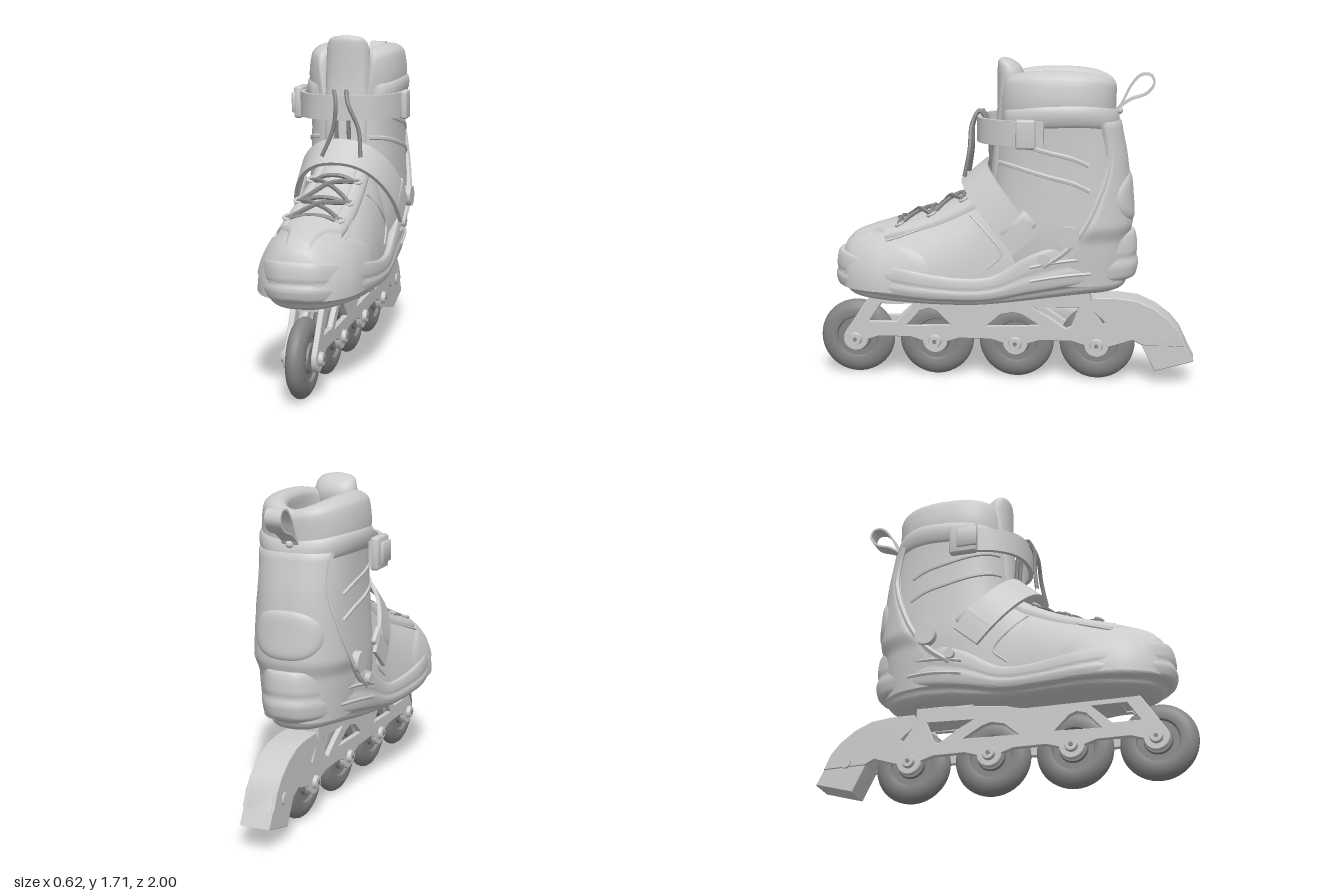
import * as THREE from 'three';
import { toCreasedNormals } from 'three/addons/utils/BufferGeometryUtils.js';
import { RoundedBoxGeometry } from 'three/addons/geometries/RoundedBoxGeometry.js';

const V = (x, y, z) => new THREE.Vector3(x, y, z);
const { clamp, smoothstep, lerp } = THREE.MathUtils;
const PI = Math.PI;
const pow = (c, p) => Math.sign(c) * Math.abs(c) ** p;
const grey = new THREE.MeshStandardMaterial({ color: 0xcccccc });
const greyThin = new THREE.MeshStandardMaterial({ color: 0xcccccc, side: THREE.DoubleSide });
const dark = new THREE.MeshStandardMaterial({ color: 0x858585 });

// Smooth lookup in rows of [key, values...]
function sample(rows, t) {
  let i = 0;
  while (i < rows.length - 2 && t > rows[i + 1][0]) i++;
  const a = rows[i], b = rows[i + 1], p = rows[i - 1] ?? a, n = rows[i + 2] ?? b;
  const h = b[0] - a[0], k = clamp((t - a[0]) / h, 0, 1), k2 = k * k, k3 = k2 * k;
  return a.slice(1).map((av, j) => {
    const c = j + 1, ma = (b[c] - p[c]) / (b[0] - p[0]) * h, mb = (n[c] - a[c]) / (n[0] - a[0]) * h;
    return (2 * k3 - 3 * k2 + 1) * av + (k3 - 2 * k2 + k) * ma + (3 * k2 - 2 * k3) * b[c] + (k3 - k2) * mb;
  });
}

// Surface from a rule fn(u, v) -> Vector3
function grid(fn, nu, nv) {
  const pos = [], idx = [];
  for (let j = 0; j <= nv; j++) for (let i = 0; i <= nu; i++) pos.push(...fn(i / nu, j / nv).toArray());
  for (let j = 0; j < nv; j++) for (let i = 0; i < nu; i++) {
    const a = j * (nu + 1) + i, b = a + nu + 1;
    idx.push(a, a + 1, b, a + 1, b + 1, b);
  }
  const g = new THREE.BufferGeometry();
  g.setAttribute('position', new THREE.Float32BufferAttribute(pos, 3));
  g.setIndex(idx);
  return g;
}

const tube = (pts, r, n = 32) => new THREE.TubeGeometry(new THREE.CatmullRomCurve3(pts), n, r, 6);
const bolt = (r, len) => new THREE.CylinderGeometry(r, r, len, 24).rotateZ(PI / 2);

// Flat strap along a path, with rectangular section and closed ends
function ribbon(pts, wide, halfW, halfT, n = 40) {
  const curve = new THREE.CatmullRomCurve3(pts), rows = n + 2;
  const corners = [[1, 1], [-1, 1], [-1, -1], [1, -1], [1, 1]];
  return grid((u, v) => {
    const row = Math.round(v * rows), t = clamp((row - 1) / n, 0, 1), c = curve.getPointAt(t);
    if (row === 0 || row === rows) return c;
    const out = curve.getTangentAt(t).cross(wide).normalize(), [a, b] = corners[Math.round(u * 4)];
    return c.addScaledVector(wide, a * halfW).addScaledVector(out, b * halfT);
  }, 4, rows);
}

// Side-view shape of [z, y] points extruded across x
function plate(shape, depth, x) {
  return new THREE.ExtrudeGeometry(shape, { depth, bevelEnabled: true, bevelSize: 0.004, bevelThickness: 0.004, bevelSegments: 1, curveSegments: 10 })
    .rotateY(-PI / 2).translate(x + depth / 2, 0, 0);
}
const poly = (pts) => new THREE.Shape(pts.map(([a, b]) => new THREE.Vector2(a, b)));

// Foot surface: a = 0 on the instep, +-PI/2 at the sides
const footRows = [[-0.08, 1.1, 0.22], [0.03, 1.13, 0.228], [0.15, 1.04, 0.238], [0.3, 0.95, 0.256], [0.45, 0.885, 0.268],
  [0.6, 0.835, 0.262], [0.7, 0.803, 0.242], [0.8, 0.762, 0.19], [0.845, 0.725, 0.14], [0.87, 0.66, 0.08]];
const shift = (z) => -0.02 * smoothstep(z, 0, 0.6);
function foot(z, a, off = 0) {
  const [top, w] = sample(footRows, z);
  return V(shift(z) + (w + off) * pow(Math.sin(a), 0.95), 0.5 + (top + off - 0.5) * pow(Math.cos(a), 0.95), z + off * 0.3);
}
const footAt = (z, y, s, off) => foot(z, s * Math.acos(clamp((y - 0.5) / (sample(footRows, z)[0] - 0.5), 0, 1)), off);

// Leg surface: angle 0 at the front, PI at the heel
const legRows = [[0.55, 0.1, -0.635, 0.225], [0.8, 0.09, -0.645, 0.245], [1, 0.07, -0.632, 0.24], [1.2, 0.05, -0.612, 0.235],
  [1.4, 0.035, -0.575, 0.24], [1.5, 0.035, -0.575, 0.25], [1.6, 0.03, -0.575, 0.237], [1.68, 0.01, -0.555, 0.215]];
function leg(y, th, off = 0) {
  const [zf, zb, w] = sample(legRows, y);
  return V((w + off) * pow(Math.sin(th), 0.8), y, (zf + zb) / 2 + ((zf - zb) / 2 + off * (off < 0 ? 0.6 : 1)) * pow(Math.cos(th), 0.8));
}

// Hard lower shell, v from under the sole up to the rim
const shellW = [[-0.7, 0.26], [-0.3, 0.278], [0, 0.265], [0.25, 0.285], [0.5, 0.31], [0.91, 0.3]];
const rimRows = [[-0.7, 0.82], [-0.4, 0.79], [-0.15, 0.71], [0, 0.62], [0.1, 0.59], [0.3, 0.595], [0.6, 0.64], [0.91, 0.69]];
const shellProfile = [[0, 0, 0], [0.1, 0.6, 0], [0.18, 0.75, 0.03], [0.26, 0.84, 0.1], [0.34, 0.885, 0.2], [0.42, 0.965, 0.27], [0.52, 0.995, 0.4],
  [0.6, 1, 0.5], [0.66, 0.98, 0.6], [0.72, 0.99, 0.7], [0.85, 0.968, 0.95], [0.92, 0.92, 1], [1, 0.75, 0.85]];
function shell(th, v) {
  const z = 0.105 + 0.805 * Math.cos(th), [s, h] = sample(shellProfile, v);
  const low = lerp(0.49, 0.43, smoothstep(z, -0.6, 0.25));
  const x = shift(z) + s * sample(shellW, z)[0] * pow(Math.sin(th), 0.74);
  return V(x, lerp(low, sample(rimRows, z)[0], h), 0.105 + (z - 0.105) * (s < 0.5 ? s : 1 - (1 - s) * 0.6));
}

export function createModel() {
  const root = new THREE.Group();
  const add = (name, geo, mat = grey, crease = 0.7) => {
    const m = new THREE.Mesh(toCreasedNormals(geo, crease), mat);
    m.name = name;
    root.add(m);
  };

  // Wheels with hubs and axle bolts
  const axles = [0.8, 0.37, -0.06, -0.49], hubY = 0.203;
  const half = [[0.2, 0], [0.197, 0.014], [0.187, 0.028], [0.165, 0.042], [0.135, 0.049], [0.112, 0.045], [0.106, 0.03], [0.075, 0.03], [0.07, 0.045], [0, 0.045]];
  const wheelPts = [...half.slice(1).reverse().map(([r, y]) => new THREE.Vector2(r, -y)), ...half.map(([r, y]) => new THREE.Vector2(r, y))];
  for (const z of axles) {
    add('wheel', new THREE.LatheGeometry(wheelPts, 48).rotateZ(PI / 2).translate(0, hubY, z), dark);
    add('axle', bolt(0.02, 0.16).translate(0, hubY, z));
    for (const s of [-1, 1]) {
      add('axleBolt', new THREE.CylinderGeometry(0.03, 0.036, 0.022, 24).rotateZ(-s * PI / 2).translate(s * 0.093, hubY, z));
      add('boltSocket', new THREE.CylinderGeometry(0.012, 0.012, 0.006, 6).rotateZ(PI / 2).translate(s * 0.105, hubY, z), dark);
    }
  }

  // Frame side plates with scalloped lower edge and cut-outs
  const side = poly([[0.72, 0.435], [0.25, 0.435], [0, 0.455], [-0.3, 0.485], [-0.45, 0.49], [-0.45, 0.42], [-0.53, 0.3]]);
  [...axles].reverse().forEach((z, i) => {
    side.absarc(z, hubY, 0.062, PI, 2 * PI + (i === 3 ? 0.6 : 0), false);
    if (i < 3) side.lineTo(z + 0.13, 0.225).lineTo(z + 0.3, 0.225);
  });
  side.holes = [
    [[0.73, 0.3], [0.66, 0.405], [0.47, 0.405], [0.58, 0.3]],
    [[0.53, 0.28], [0.45, 0.37], [0.4, 0.385], [0.36, 0.37], [0.28, 0.29]],
    [[0.1, 0.29], [0.02, 0.36], [-0.05, 0.375], [-0.1, 0.36], [-0.2, 0.3]],
    [[-0.14, 0.4], [-0.23, 0.35], [-0.33, 0.285], [-0.36, 0.3], [-0.4, 0.41]],
  ].map(poly);
  const arm = [[-0.47, 0.457], [-0.6, 0.457], [-0.7, 0.445], [-0.79, 0.405], [-0.87, 0.345], [-0.92, 0.285], [-0.955, 0.21], [-0.73, 0.215], [-0.68, 0.24]];
  for (const s of [-1, 1]) {
    add('framePlate', plate(side, 0.02, s * 0.07));
    add('brakeBracket', plate(poly([...arm, [-0.56, 0.2], [-0.47, 0.18], [-0.44, 0.23], [-0.54, 0.33], [-0.45, 0.41]]), 0.012, s * 0.074));
    add('brakeBolt', bolt(0.032, 0.02).translate(s * 0.083, 0.235, -0.84));
  }
  add('brakeArm', plate(poly([...arm.slice(0, 8), [-0.7, 0.27], [-0.64, 0.37], [-0.47, 0.425]]), 0.135, 0));
  add('brakePad', plate(poly([[-0.73, 0.212], [-0.955, 0.207], [-0.995, 0.13], [-0.8, 0.075]]), 0.15, 0));
  add('frameDeck', new THREE.BoxGeometry(0.14, 0.025, 1.16).translate(0, 0.425, 0.14));
  add('frontMount', new THREE.BoxGeometry(0.16, 0.05, 0.3).translate(0, 0.43, 0.48));
  add('rearMount', new THREE.BoxGeometry(0.14, 0.09, 0.3).translate(0, 0.46, -0.3));

  // Boot body
  add('lowerShell', grid((u, v) => shell(u * 2 * PI, v), 96, 52), greyThin);
  add('footUpper', grid((u, v) => v === 1 ? V(-0.02, 0.58, 0.862) : foot(lerp(-0.08, 0.87, Math.min(1, v / 0.98)), lerp(-PI / 2, PI / 2, u)), 40, 50), greyThin);
  add('paddedCollar', grid((u, v) => {
    const th = u * 2 * PI, d = Math.min(th, 2 * PI - th);
    const rim = lerp(1.2, 1.6 + 0.055 * Math.sin(clamp(d, 0, PI)), smoothstep(d, 0.2, 0.62));
    if (v <= 0.6) return leg(lerp(0.55, rim - 0.05, v / 0.6), th);
    if (v === 1) return V(0, 0.9, -0.28);
    const phi = Math.min(1, (v - 0.6) / 0.25) * PI;
    const y = v < 0.85 ? rim - 0.05 + 0.05 * Math.sin(phi) : lerp(rim - 0.05, 0.9, Math.min(1, (v - 0.85) / 0.12));
    return leg(y, th, -0.066 + 0.066 * Math.cos(phi));
  }, 96, 48), greyThin, 1);
  const tongueRows = [[1, 0.03, 0.11, 0.05], [1.2, 0.015, 0.115, 0.05], [1.45, -0.01, 0.115, 0.05], [1.6, -0.03, 0.115, 0.068], [1.66, -0.022, 0.107, 0.06], [1.7, 0, 0.075, 0.032], [1.712, 0.01, 0, 0]];
  add('tongue', grid((u, v) => {
    const y = lerp(1, 1.712, 1 - (1 - v) ** 1.6), [z, hx, hz] = sample(tongueRows, y), t = u * 2 * PI;
    return V(0.005 + hx * pow(Math.sin(t), 0.8), y, z + hz * Math.cos(t));
  }, 32, 30), greyThin, 1);

  // Rear cuff, sweeping back from the hinge to the top of the heel
  const cuffEdge = [[0.6, 1.3], [0.8, 1.72], [1, 2.05], [1.17, 2.3], [1.27, 2.36], [1.43, 2.3]];
  add('rearCuff', grid((u, v) => {
    const y = lerp(0.6, 1.43, v), t0 = sample(cuffEdge, y)[0];
    const edge = clamp(Math.min(u * 14, (1 - u) * 14, (1 - v) * 14), 0, 1);
    return leg(y, lerp(t0, 2 * PI - t0, u), -0.01 + lerp(0.012, 0.037, smoothstep(y, 0.77, 0.87)) * Math.sin(edge * PI / 2));
  }, 64, 48), greyThin, 1);
  add('heelPanel', grid((u, r) => {
    const p = u * 2 * PI;
    return leg(1 + 0.13 * r * Math.sin(p), PI + 0.72 * r * Math.cos(p), 0.02 + 0.02 * (1 - r ** 8));
  }, 48, 12), greyThin);
  add('collarBand', grid((u, v) => leg(lerp(1.37, 1.49, v) - 0.03 * Math.cos(u * 2 * PI) ** 2, lerp(0.5, 2 * PI - 0.5, u),
    -0.006 + 0.024 * Math.sin(v * PI) ** 0.6 * clamp(Math.min(u, 1 - u) * 20, 0, 1)), 72, 12), greyThin, 1);
  add('heelRivet', new THREE.SphereGeometry(0.02, 16, 10).translate(0, 1.44, -0.59));

  // Toe cap, instep strip, eyestays and seams
  add('toeCap', grid((u, v) => {
    const a = lerp(-1.3, 1.3, u), z0 = lerp(0.7, 0.38, smoothstep(Math.abs(a), 0.4, 1.25));
    return foot(lerp(z0, 0.862, v), a, 0.007 * clamp(v * 8, 0, 1));
  }, 40, 24), greyThin);
  add('instepStrip', grid((u, v) => foot(lerp(0.57, 0.83, v), lerp(-1, 1, u) * lerp(0.62, 0.34, smoothstep(v, 0, 0.5)),
    0.014 * clamp(Math.min(u, 1 - u, 1 - v) * 10, 0, 1)), 16, 16), greyThin);
  for (const s of [-1, 1]) {
    add('eyestay', grid((u, v) => foot(lerp(0.05, 0.62, v), s * lerp(0.36, 0.66, u), 0.02 * Math.sin(u * PI) ** 0.4), 10, 24), greyThin);
    const seams = [[[0.17, 0.9], [0.06, 0.79], [0, 0.7], [0.08, 0.62]], [[0.8, 0.7], [0.6, 0.755], [0.4, 0.83], [0.2, 0.93]]];
    for (const line of seams) add('seam', tube(line.map(([z, y]) => footAt(z, y, s, 0.003)), 0.006));
    for (const [y, drop] of [[1.3, 0.12], [1.18, 0.13]])
      add('ankleFold', tube([0.5, 0.75, 1, 1.25, 1.5, 1.75, 2].map((t, i) => leg(y - drop * (i / 6) ** 2, s * t, -0.003)), 0.013));
    add('cuffEdge', tube([0.66, 0.74, 0.82, 0.9, 1, 1.1, 1.2, 1.3, 1.4].map((y) => leg(y, s * (sample(cuffEdge, y)[0] + 0.06), 0.012)), 0.016));
    for (const v of [0.6, 0.76])
      add('shellRib', tube([1.9, 2.05, 2.2, 2.35].map((t, i) => shell(s * t, v - i * 0.02)), 0.01));
    add('cuffPivot', bolt(0.055, 0.04).translate(s * 0.262, 0.82, -0.35));
    add('shellRivet', bolt(0.028, 0.04).translate(s * 0.258, 0.7, -0.22));
  }

  // Laces
  const rows = [0.2, 0.37, 0.54], across = [0.46, 0.23, 0, -0.23, -0.46];
  rows.forEach((z, i) => {
    add('lace', tube(across.map((a) => foot(z + 0.01, a, 0.018 - 0.012 * Math.cos(a * 3))), 0.012), dark);
    for (const s of [-1, 1]) {
      add('eyelet', new THREE.TorusGeometry(0.02, 0.008, 6, 14).rotateX(-1.1).translate(...foot(z, s * 0.46, 0.024).toArray()));
      if (i < 2) add('lace', tube(across.map((a, k) => foot(lerp(z, rows[i + 1], k / 4), s * a, 0.022 - 0.012 * Math.cos(a * 3) + (s > 0 && k === 2 ? 0.01 : 0))), 0.012), dark);
    }
  });
  for (const [x0, x1] of [[-0.03, -0.075], [0.035, 0.13]])
    add('looseLace', tube([V(x0, 1.15, 0.07), V(x0, 1.36, 0.09), V(x0, 1.435, 0.13), V(x0 + 0.02, 1.37, 0.168), V((x0 + x1) / 2 + 0.03, 1.24, 0.175), V(x1, 1.1, 0.2)], 0.011), dark);

  // Ankle strap with buckle
  add('ankleStrap', ribbon([[-0.268, -0.22], [-0.262, -0.1], [-0.22, 0.02], [-0.14, 0.105], [0, 0.135], [0.14, 0.105], [0.22, 0.02], [0.262, -0.1], [0.268, -0.22]]
    .map(([x, z]) => V(x, 1.345, z)), V(0, 1, 0), 0.064, 0.011));
  add('ankleBuckle', new RoundedBoxGeometry(0.045, 0.17, 0.15, 3, 0.015).translate(-0.285, 1.345, -0.145));
  add('buckleLever', new RoundedBoxGeometry(0.02, 0.11, 0.11, 2, 0.008).translate(-0.308, 1.345, -0.12));
  add('ankleClasp', new RoundedBoxGeometry(0.035, 0.15, 0.1, 3, 0.012).translate(0.288, 1.345, -0.13));

  // Diagonal instep strap with buckle
  const arch = [];
  for (let i = 0; i <= 14; i++) {
    const t = i / 14 * PI, s = Math.sin(t);
    arch.push(V(-0.28 * pow(Math.cos(t), 0.85), 0.78 + 0.34 * s, -0.13 + 0.29 * s));
  }
  add('instepStrap', ribbon(arch, V(0, -0.65, 0.76).normalize(), 0.083, 0.01));
  for (const s of [-1, 1])
    add('instepBuckle', new RoundedBoxGeometry(0.03, 0.18, 0.1, 3, 0.012).rotateX(0.75 + PI / 2).translate(s * 0.268, 0.86, -0.09));

  // Pull loop at the heel
  add('pullLoop', ribbon([[-0.58, 1.45], [-0.65, 1.5], [-0.73, 1.53], [-0.768, 1.58], [-0.75, 1.625], [-0.7, 1.625], [-0.65, 1.57], [-0.61, 1.49], [-0.58, 1.44]]
    .map(([z, y]) => V(0, y, z)), V(1, 0, 0), 0.043, 0.005));
  return root;
}
